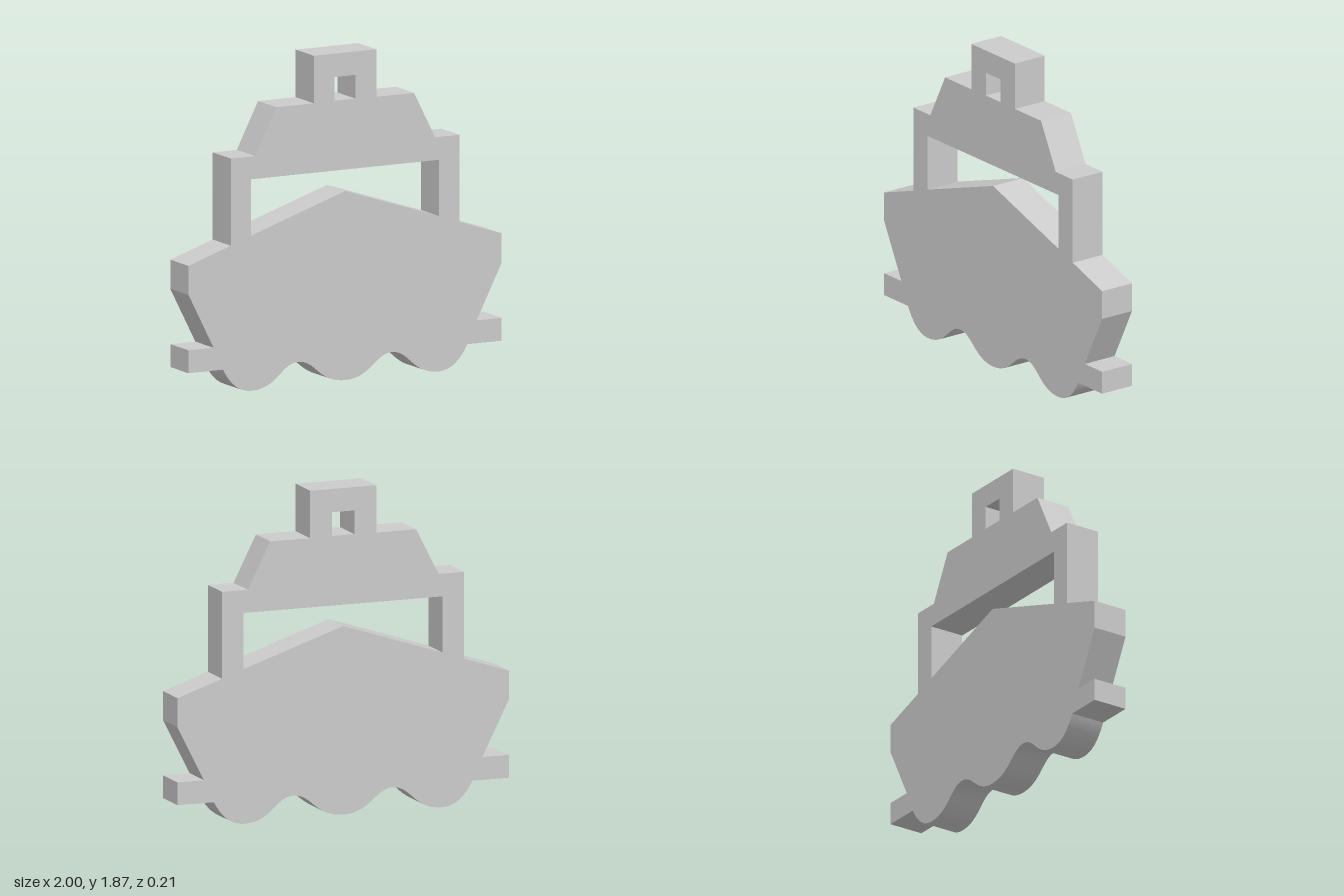
import * as THREE from 'three';
import { toCreasedNormals } from 'three/addons/utils/BufferGeometryUtils.js';

const DEPTH = 0.21;

// Right half of the outline, from the wave line up to the funnel top
const SIDE = [
  [0.78, 0.14], [1, 0.14], [1, 0.27], [0.84, 0.27], [1, 0.585], [1, 0.75],
  [0.73, 0.84], [0.73, 1.335], [0.575, 1.335], [0.44, 1.6], [0.2, 1.6], [0.2, 1.87],
];

function holePath(points) {
  return new THREE.Path(points.map(([x, y]) => new THREE.Vector2(x, y)));
}

export function createModel() {
  const group = new THREE.Group();
  group.name = 'boat';

  // Wavy underside, left to right
  const outline = new THREE.Shape();
  outline.moveTo(-0.78, 0.14);
  outline.bezierCurveTo(-0.735, 0.055, -0.68, 0.005, -0.6, 0.003);
  outline.bezierCurveTo(-0.43, 0, -0.41, 0.14, -0.3, 0.14);
  outline.bezierCurveTo(-0.19, 0.14, -0.17, 0.01, 0, 0.008);
  outline.bezierCurveTo(0.17, 0.01, 0.19, 0.14, 0.3, 0.14);
  outline.bezierCurveTo(0.41, 0.14, 0.43, 0, 0.6, 0.003);
  outline.bezierCurveTo(0.68, 0.005, 0.735, 0.055, 0.78, 0.14);

  // Hull, cabin and funnel: up the right side, mirrored down the left
  SIDE.slice(1).forEach(([x, y]) => outline.lineTo(x, y));
  [...SIDE].reverse().forEach(([x, y]) => outline.lineTo(-x, y));

  // Cabin window above the peaked deck, and the funnel window
  outline.holes.push(
    holePath([[-0.6, 0.885], [-0.6, 1.205], [0.6, 1.205], [0.6, 0.885], [0, 1.083]]),
    holePath([[-0.067, 1.602], [-0.067, 1.737], [0.067, 1.737], [0.067, 1.602]]),
  );

  const geometry = new THREE.ExtrudeGeometry(outline, {
    depth: DEPTH, bevelEnabled: false, curveSegments: 16,
  });
  geometry.translate(0, 0, -DEPTH / 2);

  const body = new THREE.Mesh(
    toCreasedNormals(geometry, 0.3),
    new THREE.MeshStandardMaterial({ color: 0xcccccc }),
  );
  body.name = 'boatSilhouette';
  group.add(body);
  return group;
}
